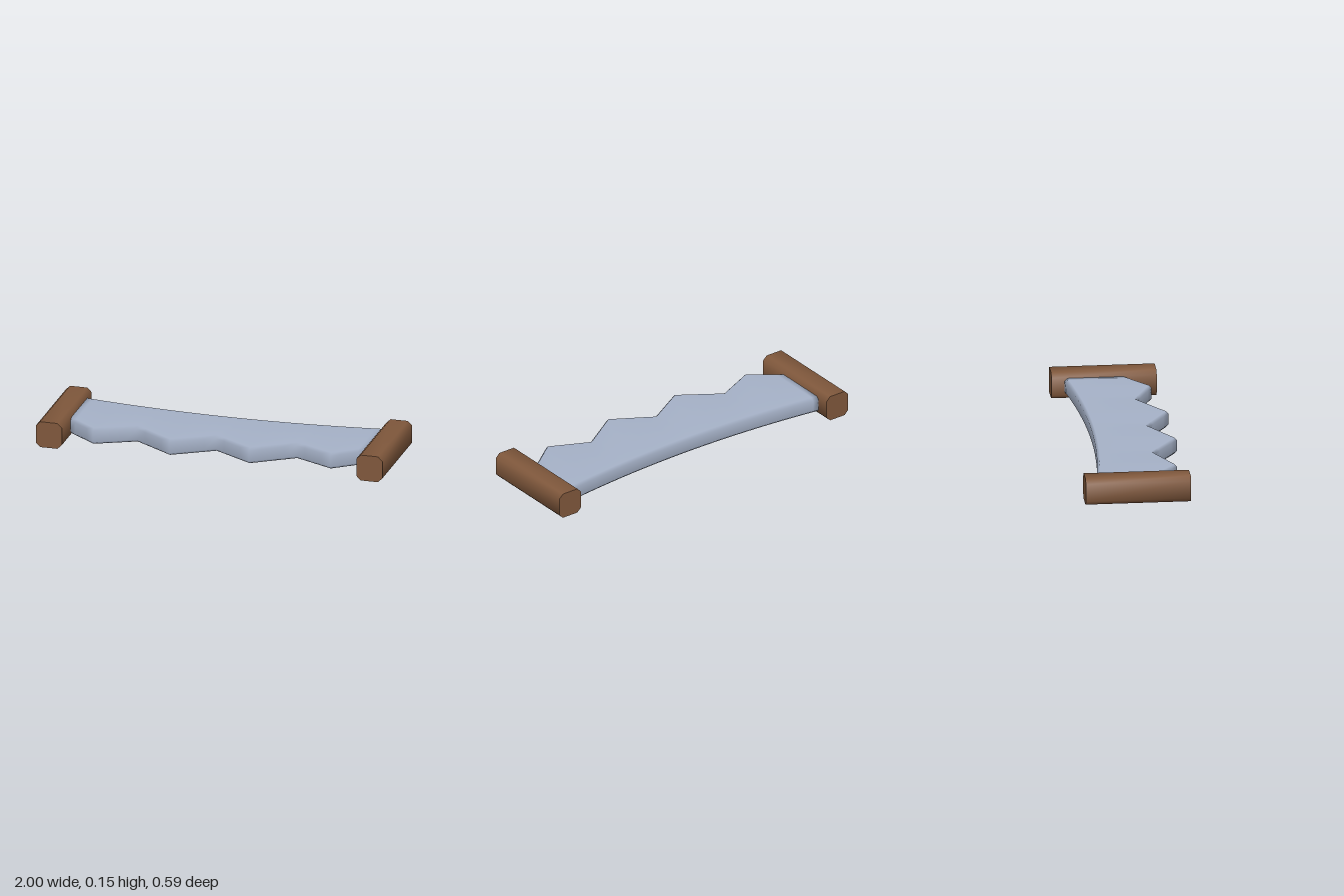
import * as THREE from 'three';
import { toCreasedNormals } from 'three/addons/utils/BufferGeometryUtils.js';

const wood = new THREE.MeshStandardMaterial({ color: 0x80583c });
const steel = new THREE.MeshStandardMaterial({ color: 0xa6b2c8 });

// Square bar with chamfered long edges and flat ends
function handleGeometry(size, length, c) {
  const h = size / 2, k = h - c;
  const outline = [[h, -k], [h, k], [k, h], [-k, h], [-h, k], [-h, -k], [-k, -h], [k, -h]];
  const shape = new THREE.Shape(outline.map(([x, y]) => new THREE.Vector2(x, y)));
  const geo = new THREE.ExtrudeGeometry(shape, { depth: length, bevelEnabled: false });
  geo.translate(0, h, -length / 2);
  return toCreasedNormals(geo, Math.PI / 3);
}

// Chamfered cross-sections lofted along x between a curved back and a toothed front
function bladeGeometry() {
  const half = [[0, 0.158], [0.23, 0.293], [0.46, 0.142], [0.685, 0.246], [0.86, 0.112]];
  const teeth = [...half.slice(1).reverse().map(([x, z]) => [-x, z]), ...half];
  const steps = 4, c = 0.015, y0 = 0.028, y1 = 0.122;
  const columns = [];
  for (let i = 0; i < teeth.length - 1; i++) {
    for (let s = 0; s < steps; s++) {
      const t = s / steps;
      columns.push([0, 1].map(a => THREE.MathUtils.lerp(teeth[i][a], teeth[i + 1][a], t)));
    }
  }
  columns.push(teeth[teeth.length - 1]);

  const positions = [], index = [];
  columns.forEach(([x, f], i) => {
    const b = -0.16 - 0.06 * (x / 0.85) ** 2;
    const section = [
      [f, y0 + c], [f, y1 - c], [f - c, y1], [b + c, y1],
      [b, y1 - c], [b, y0 + c], [b + c, y0], [f - c, y0],
    ];
    section.forEach(([z, y]) => positions.push(x, y, z));
    if (i === 0) return;
    for (let j = 0; j < 8; j++) {
      const n = (j + 1) % 8, p = (i - 1) * 8, q = i * 8;
      index.push(p + j, q + j, q + n, p + j, q + n, p + n);
    }
  });
  // End caps
  const last = (columns.length - 1) * 8;
  for (let j = 1; j < 7; j++) {
    index.push(0, j, j + 1, last, last + j + 1, last + j);
  }
  const geo = new THREE.BufferGeometry();
  geo.setAttribute('position', new THREE.Float32BufferAttribute(positions, 3));
  geo.setIndex(index);
  geo.computeVertexNormals();
  return geo;
}

export function createModel() {
  const group = new THREE.Group();
  group.name = 'twoHandedSaw';

  const blade = new THREE.Mesh(bladeGeometry(), steel);
  blade.name = 'blade';
  group.add(blade);

  // Wooden grips at both ends
  const grip = handleGeometry(0.15, 0.586, 0.025);
  for (const side of [1, -1]) {
    const handle = new THREE.Mesh(grip, wood);
    handle.name = side > 0 ? 'leftHandle' : 'rightHandle';
    handle.position.x = side * 0.925;
    group.add(handle);
  }
  return group;
}
